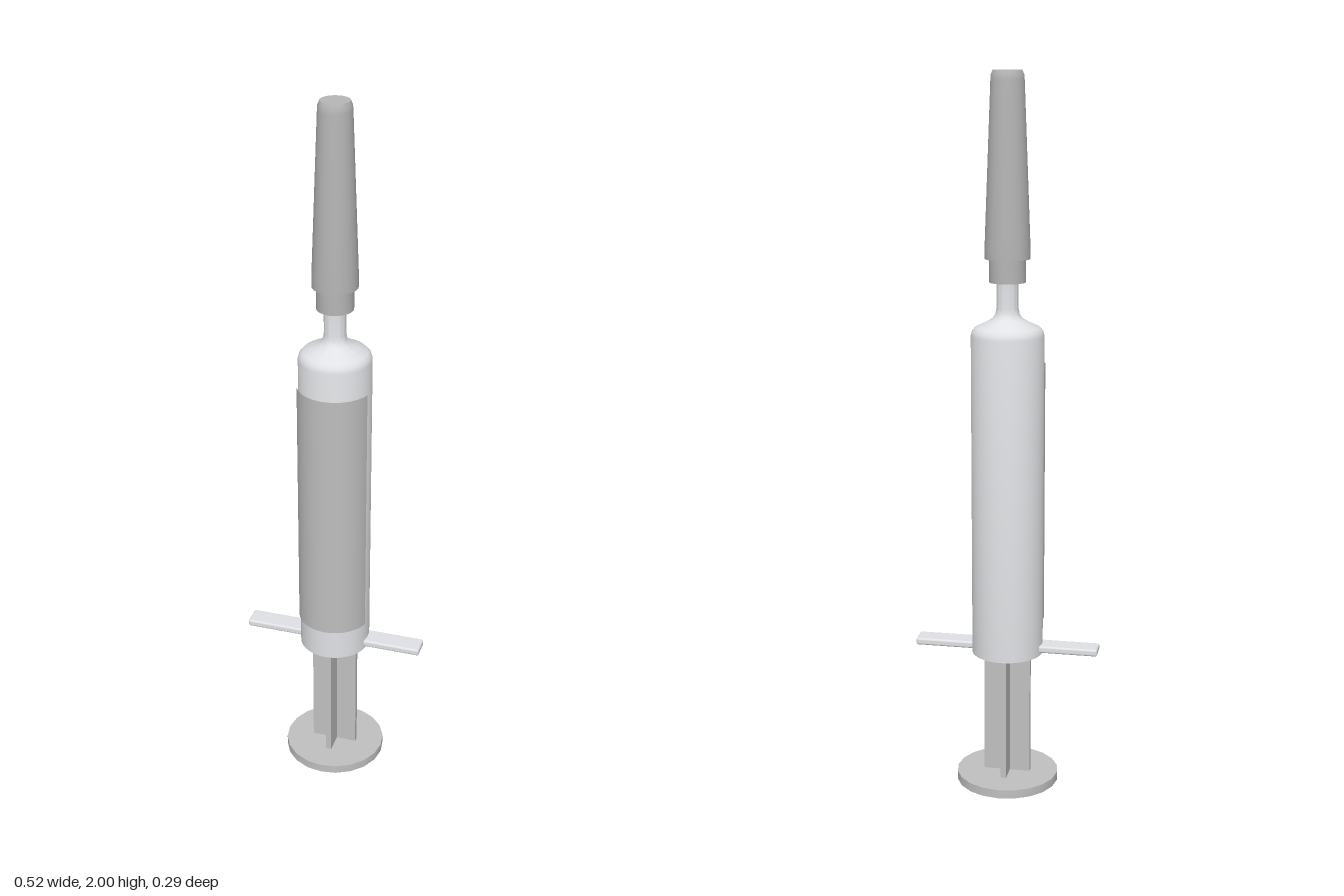
import * as THREE from 'three';
import { toCreasedNormals } from 'three/addons/utils/BufferGeometryUtils.js';
import { RoundedBoxGeometry } from 'three/addons/geometries/RoundedBoxGeometry.js';

const material = (name, color) => {
  const m = new THREE.MeshStandardMaterial({ color });
  m.name = name;
  return m;
};

export function createModel() {
  const model = new THREE.Group();
  model.name = 'syringe';
  const clearPlastic = material('pale plastic', 0xdfe1e4);
  const greyPlastic = material('grey plastic', 0xc0c0c0);
  const capGrey = material('cap grey', 0xb6b6b6);
  const labelGrey = material('label grey', 0xbebebe);
  labelGrey.side = THREE.DoubleSide;

  const add = (name, geometry, mat, x = 0, y = 0, z = 0) => {
    const mesh = new THREE.Mesh(geometry, mat);
    mesh.name = name;
    mesh.position.set(x, y, z);
    model.add(mesh);
    return mesh;
  };
  // Turned part from [radius, height] pairs, with sharp corners kept
  const turned = (points, sides) => toCreasedNormals(
    new THREE.LatheGeometry(points.map(p => new THREE.Vector2(...p)), sides), Math.PI / 6);

  // Hollow barrel with shoulder and narrow neck
  add('barrel', turned([
    [0, 1.28], [0.088, 1.28], [0.088, 0.39], [0.1, 0.39], [0.1, 1.3], [0.097, 1.312],
    [0.088, 1.322], [0.06, 1.335], [0.042, 1.346], [0.033, 1.358], [0.03, 1.375],
    [0.03, 1.47], [0, 1.47],
  ], 48), clearPlastic);

  // Wrap-around label on the front of the barrel
  const arc = 1.27;
  add('label', new THREE.CylinderGeometry(0.104, 0.104, 0.74, 32, 1, true, -arc, arc * 2),
    labelGrey, 0, 0.85);

  // Finger grips on both sides
  for (const side of [-1, 1]) {
    add(side > 0 ? 'leftFingerGrip' : 'rightFingerGrip',
      new RoundedBoxGeometry(0.17, 0.02, 0.06, 3, 0.006), clearPlastic, side * 0.175, 0.409);
  }

  // Needle collar, open below, and tapered cap
  add('needleCollar', turned([
    [0, 1.48], [0.04, 1.48], [0.04, 1.445], [0.05, 1.445], [0.05, 1.515],
  ], 24), capGrey);
  add('needleCap', turned([
    [0, 1.508], [0.062, 1.508], [0.062, 1.53], [0.045, 1.975], [0.044, 1.988], [0.039, 2], [0, 2],
  ], 24), capGrey);

  // Plunger: crossed ribs and thumb disc
  for (const turn of [0, Math.PI / 2]) {
    add('plungerRib', new THREE.BoxGeometry(0.132, 0.56, 0.016), greyPlastic, 0, 0.3)
      .rotation.y = turn;
  }
  add('thumbDisc', toCreasedNormals(new THREE.CylinderGeometry(0.145, 0.145, 0.025, 20), Math.PI / 6),
    greyPlastic, 0, 0.0125);
  return model;
}
